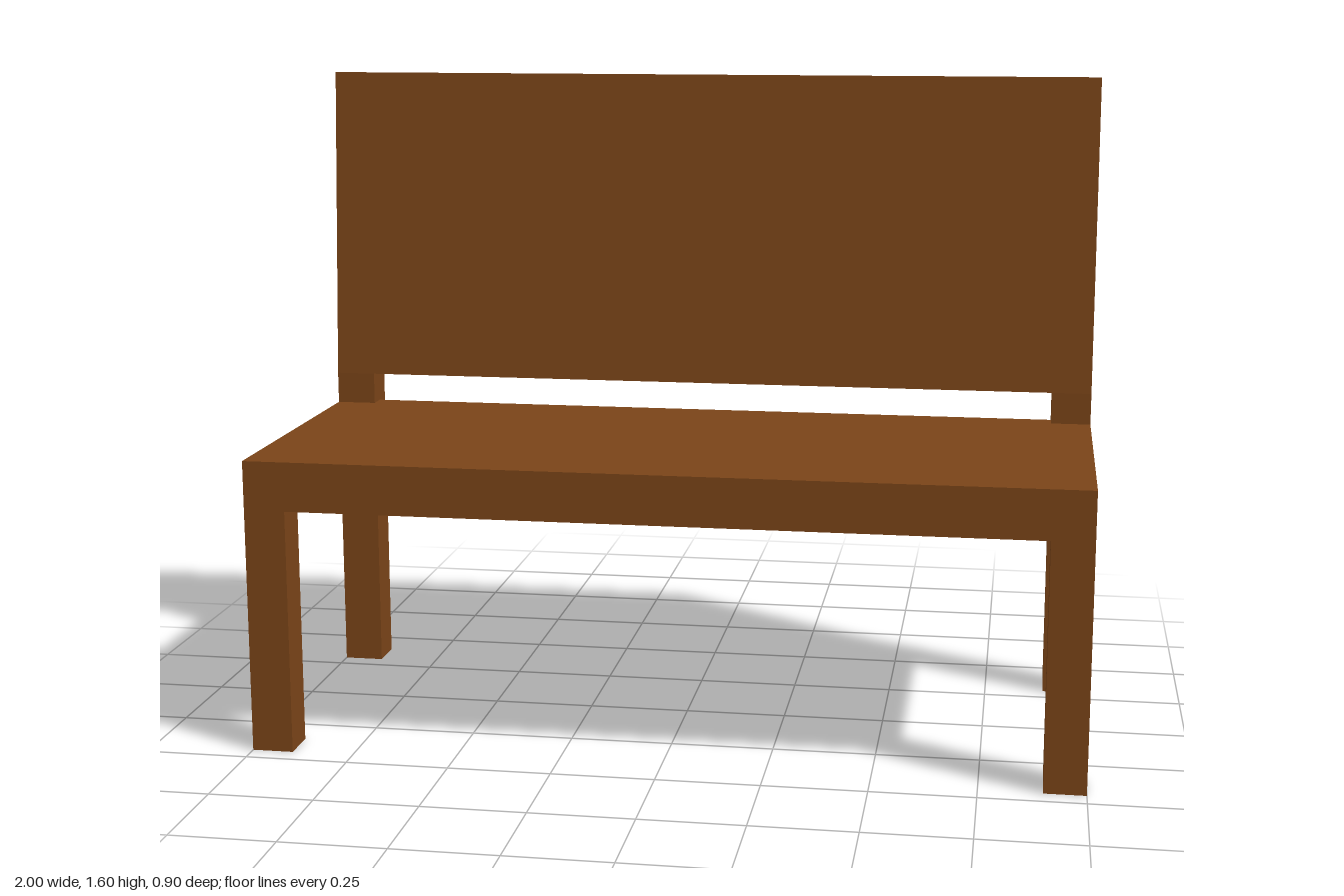
import * as THREE from 'three';

const wood = new THREE.MeshStandardMaterial({ color: 0x7a4418, flatShading: true });

function add(parent, name, geometry) {
  const mesh = new THREE.Mesh(geometry, wood);
  mesh.name = name;
  parent.add(mesh);
  return mesh;
}

function extrude(points, depth) {
  const shape = new THREE.Shape(points.map(([a, b]) => new THREE.Vector2(a, b)));
  return new THREE.ExtrudeGeometry(shape, { depth, bevelEnabled: false });
}

export function createModel() {
  const bench = new THREE.Group();
  bench.name = 'bench';

  const legWidth = 0.1, legDepth = 0.095;
  const seatBottom = 0.6, seatTop = 0.72, backBottom = 0.8;
  const front = 0.45, postFront = -0.3, seatBack = -0.347;

  // Seat slab, notched at the rear corners around the posts (plan outline in x, -z)
  const inner = 1 - legWidth;
  const seat = extrude([
    [-1, -front], [1, -front], [1, -postFront], [inner, -postFront],
    [inner, -seatBack], [-inner, -seatBack], [-inner, -postFront], [-1, -postFront],
  ], seatTop - seatBottom);
  seat.rotateX(-Math.PI / 2).translate(0, seatBottom, 0);
  add(bench, 'seat', seat);

  // Front legs and the taller rear posts that carry the backrest
  for (const [side, sign] of [['left', 1], ['right', -1]]) {
    const x = sign * (1 - legWidth / 2);
    add(bench, side + 'FrontLeg', new THREE.BoxGeometry(legWidth, seatBottom, legDepth))
      .position.set(x, seatBottom / 2, front - legDepth / 2);
    add(bench, side + 'RearPost', new THREE.BoxGeometry(legWidth, backBottom, legDepth))
      .position.set(x, backBottom / 2, postFront - legDepth / 2);
  }

  // Backrest panel leaning slightly backwards (side outline in -z, y)
  const back = extrude([
    [-postFront, backBottom], [-postFront + legDepth, backBottom],
    [0.453, 1.593], [0.357, 1.6],
  ], 2);
  back.rotateY(Math.PI / 2).translate(-1, 0, 0);
  add(bench, 'backrest', back);

  return bench;
}
